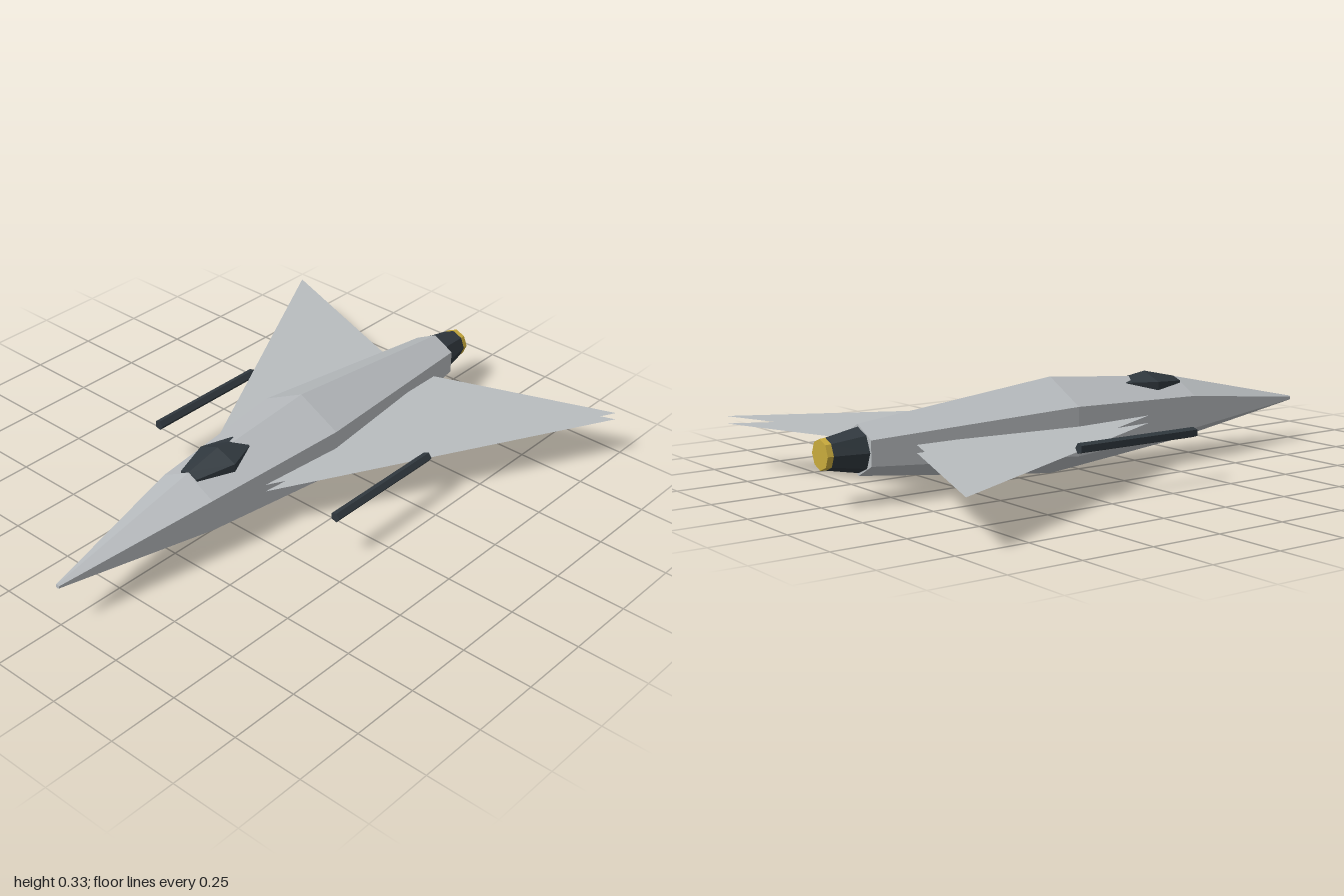
import * as THREE from 'three';

const mat = (name, color, extra = {}) =>
  Object.assign(new THREE.MeshStandardMaterial({ color, flatShading: true, ...extra }), { name });

// Skins rings of [x, y] points (counter-clockwise seen from +z), ordered back to front
function loft(rings) {
  const pos = [];
  const p = (r, i) => { const q = r.pts[i % r.pts.length]; return [q[0], q[1], r.z]; };
  const tri = (a, b, c) => pos.push(...a, ...b, ...c);
  const n = rings[0].pts.length;
  for (let k = 0; k < rings.length - 1; k++) {
    const r = rings[k], s = rings[k + 1];
    for (let i = 0; i < n; i++) {
      tri(p(r, i), p(r, i + 1), p(s, i + 1));
      tri(p(r, i), p(s, i + 1), p(s, i));
    }
  }
  const back = rings[0], front = rings[rings.length - 1];
  for (let i = 1; i < n - 1; i++) {
    tri(p(back, 0), p(back, i + 1), p(back, i));
    tri(p(front, 0), p(front, i), p(front, i + 1));
  }
  const g = new THREE.BufferGeometry();
  g.setAttribute('position', new THREE.Float32BufferAttribute(pos, 3));
  g.computeVertexNormals();
  return g;
}

// Six-sided hull section with a ridge at top and bottom
const hullRing = (z, cy, w, h) => ({
  z,
  pts: [[0, h], [-w, h / 2], [-w, -h / 2], [0, -h], [w, -h / 2], [w, h / 2]].map(([x, y]) => [x, cy + y]),
});

// Canopy section: ridge, upper edges, lower edges
const canopyRing = (z, top, w, upper, lower) => ({
  z, pts: [[0, top], [-w, upper], [-w, lower], [w, lower], [w, upper]],
});

export function createModel() {
  const model = new THREE.Group();
  const hullGrey = mat('hull grey', 0xb8bcbf);
  const wingGrey = mat('wing grey', 0xb8bcbf, { side: THREE.DoubleSide });
  const dark = mat('dark slate', 0x30383e);
  const gold = mat('exhaust gold', 0xc8aa3c);
  const add = (name, geometry, material, x = 0, y = 0, z = 0) => {
    const m = new THREE.Mesh(geometry, material);
    m.name = name;
    m.position.set(x, y, z);
    model.add(m);
    return m;
  };

  add('fuselage', loft([
    hullRing(-0.865, 0.168, 0.08, 0.083),
    hullRing(-0.12, 0.167, 0.16, 0.166),
    hullRing(0.43, 0.17, 0.111, 0.115),
    hullRing(1, 0.152, 0.007, 0.008),
  ]), hullGrey);

  add('canopy', loft([
    canopyRing(0.18, 0.295, 0.04, 0.288, 0.265),
    canopyRing(0.29, 0.317, 0.078, 0.286, 0.253),
    canopyRing(0.425, 0.287, 0.037, 0.274, 0.255),
  ]), dark);

  // Engine nozzle and exhaust disc
  const alongZ = (rFront, rBack, len, sides) =>
    new THREE.CylinderGeometry(rFront, rBack, len, sides).rotateX(Math.PI / 2);
  add('nozzle', alongZ(0.075, 0.052, 0.12, 8), dark, 0, 0.168, -0.92);
  add('exhaust', alongZ(0.052, 0.05, 0.022, 8), gold, 0, 0.168, -0.989);

  for (const side of [1, -1]) {
    const label = side > 0 ? 'left' : 'right';
    // Swept wing made of an upper and a lower skin
    const outline = new THREE.Shape([[0.112, 0.24], [0.74, -0.955], [0.112, -0.72]]
      .map(([x, z]) => new THREE.Vector2(side * x, z)));
    for (const [skin, y] of [['Upper', 0.184], ['Lower', 0.158]]) {
      add(`${label}Wing${skin}Skin`, new THREE.ShapeGeometry(outline).rotateX(Math.PI / 2), wingGrey, 0, y, 0);
    }
    // Five-sided rod beside the leading edge
    add(`${label}Rod`, alongZ(0.018, 0.018, 0.48, 5).rotateZ(Math.PI / 2), dark, side * 0.407, 0.169, -0.07);
  }
  return model;
}
